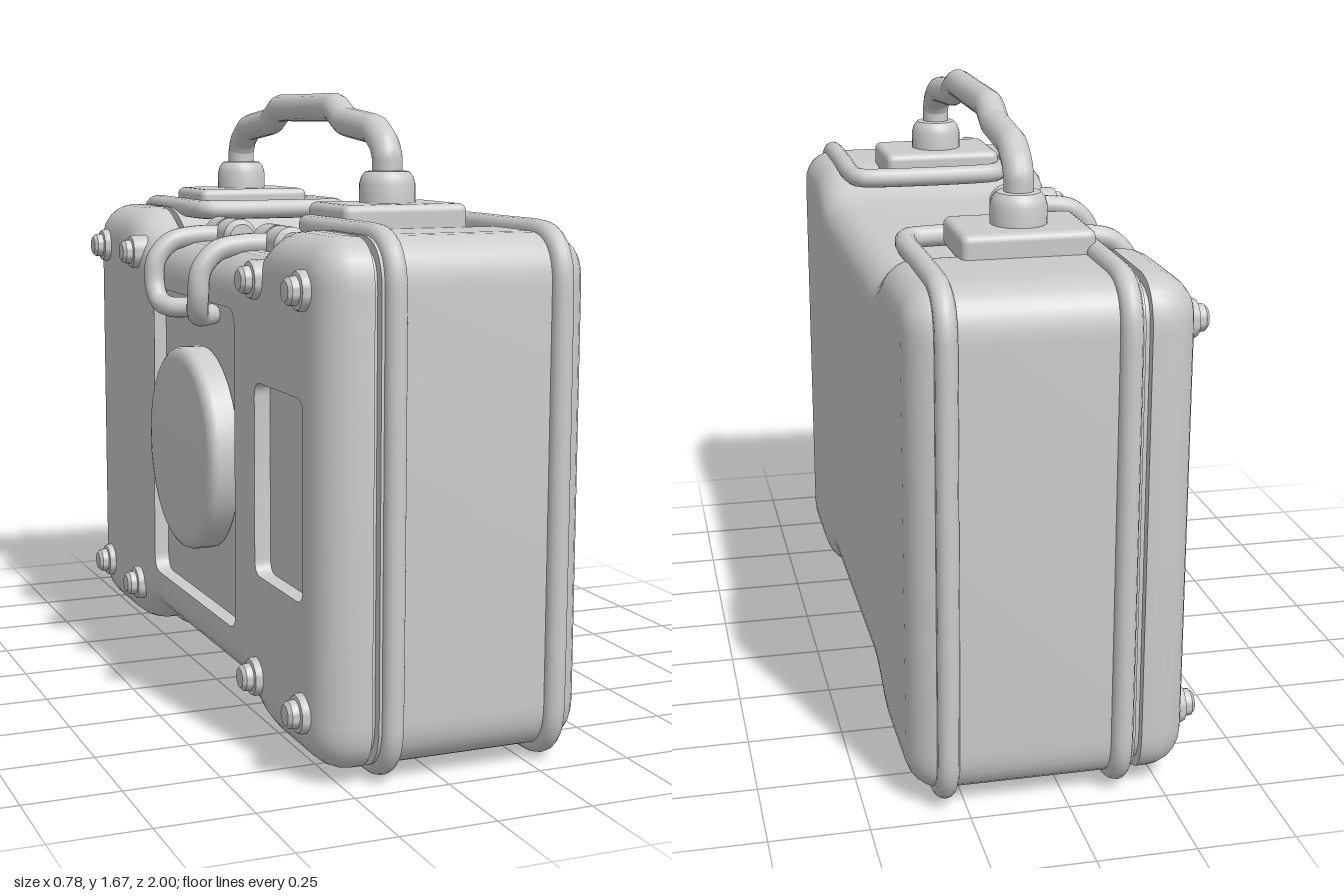
import * as THREE from 'three';
import { toCreasedNormals } from 'three/addons/utils/BufferGeometryUtils.js';
import { RoundedBoxGeometry } from 'three/addons/geometries/RoundedBoxGeometry.js';

const material = new THREE.MeshStandardMaterial({ color: 0xcccccc });
const V = (x, y, z) => new THREE.Vector3(x, y, z);

// Waisted case outline, counter-clockwise from the top centre
function caseOutline() {
  const half = new THREE.Path()
    .moveTo(0, 0.11).lineTo(0.36, 0.11)
    .bezierCurveTo(0.46, 0.11, 0.48, 0.03, 0.64, 0.03)
    .lineTo(0.84, 0.03).quadraticCurveTo(0.972, 0.03, 0.972, 0.16)
    .lineTo(0.972, 1.2).quadraticCurveTo(0.972, 1.328, 0.85, 1.328)
    .lineTo(0.66, 1.328).bezierCurveTo(0.52, 1.328, 0.52, 1.25, 0.39, 1.25)
    .lineTo(0, 1.25).getPoints(8);
  const mirrored = half.map(p => new THREE.Vector2(-p.x, p.y)).reverse();
  return [...mirrored, ...half.slice(1, -1)];
}

// Moves every outline point inwards along its normal
function inset(points, d) {
  const n = points.length;
  return points.map((p, i) => {
    const a = p.clone().sub(points[(i + n - 1) % n]).normalize();
    const b = points[(i + 1) % n].clone().sub(p).normalize();
    const t = a.add(b).normalize();
    return new THREE.Vector2(p.x - t.y * d, p.y + t.x * d);
  });
}

// Skin through outlines given as [depth, inset]
function loft(outline, sections) {
  const n = outline.length, pos = [], idx = [];
  sections.forEach(([z, d], k) => {
    inset(outline, d).forEach((p, j) => {
      pos.push(p.x, p.y, z);
      if (k === 0) return;
      const a = (k - 1) * n + j, b = (k - 1) * n + (j + 1) % n;
      idx.push(a, b, b + n, a, b + n, a + n);
    });
  });
  const g = new THREE.BufferGeometry();
  g.setAttribute('position', new THREE.Float32BufferAttribute(pos, 3));
  g.setIndex(idx);
  return toCreasedNormals(g, 0.7);
}

function roundedRect(x0, x1, y0, y1, r) {
  return new THREE.Path()
    .moveTo(x0 + r, y0).lineTo(x1 - r, y0).quadraticCurveTo(x1, y0, x1, y0 + r)
    .lineTo(x1, y1 - r).quadraticCurveTo(x1, y1, x1 - r, y1)
    .lineTo(x0 + r, y1).quadraticCurveTo(x0, y1, x0, y1 - r)
    .lineTo(x0, y0 + r).quadraticCurveTo(x0, y0, x0 + r, y0);
}

function slab(shape, z, depth) {
  const g = new THREE.ExtrudeGeometry(shape, { depth, bevelEnabled: false, curveSegments: 6 });
  return toCreasedNormals(g.translate(0, 0, z), 0.6);
}

function tube(points, radius, segments, closed = false, type = 'centripetal', tension = 0.5) {
  const curve = new THREE.CatmullRomCurve3(points, closed, type, tension);
  curve.arcLengthDivisions = 2000;
  return new THREE.TubeGeometry(curve, segments, radius, 14, closed);
}

function lathe(profile) {
  const pts = profile.map(([r, y]) => new THREE.Vector2(r, y));
  return toCreasedNormals(new THREE.LatheGeometry(pts, 32), 0.6);
}

export function createModel() {
  const model = new THREE.Group();
  model.name = 'carryingCase';
  // Inside this group the case is as wide as local x and as deep as local z
  const body = new THREE.Group();
  body.name = 'caseParts';
  body.rotation.y = Math.PI / 2;
  model.add(body);

  const add = (name, geometry, x = 0, y = 0, z = 0) => {
    const mesh = new THREE.Mesh(geometry, material);
    mesh.name = name;
    mesh.position.set(x, y, z);
    body.add(mesh);
    return mesh;
  };

  const outline = caseOutline();

  // Shell: rounded lid edge, seam groove, straight wall, rounded back edge
  const steps = [0, 1, 2, 3, 4, 5, 6].map(i => i / 6 * Math.PI / 2);
  add('shell', loft(outline, [
    ...steps.map(a => [-0.22 - 0.1 * Math.cos(a), 0.1 * (1 - Math.sin(a))]),
    [-0.192, 0], [-0.192, 0.025], [-0.175, 0.025], [-0.175, 0],
    ...steps.map(a => [0.3 + 0.09 * Math.sin(a), 0.09 * (1 - Math.cos(a))]),
  ]));
  add('backPanel', slab(new THREE.Shape(inset(outline, 0.09)), 0.36, 0.03));

  // Lid face with three recesses and the floor behind them
  const face = new THREE.Shape(inset(outline, 0.1));
  face.holes.push(
    roundedRect(-0.84, -0.51, 0.44, 0.94, 0.04),
    roundedRect(0.51, 0.84, 0.44, 0.94, 0.04),
    roundedRect(-0.36, 0.36, 0.25, 1.11, 0.05));
  add('lidFace', slab(face, -0.32, 0.045));
  add('recessFloor', slab(new THREE.Shape(inset(outline, 0.11)), -0.277, 0.03));

  // Round boss in the middle recess
  add('disc', lathe([[0.285, 0], [0.285, 0.055], [0.28, 0.068], [0.268, 0.077],
    [0.25, 0.08], [0, 0.08]]).rotateX(-Math.PI / 2), 0, 0.685, -0.28);

  // Rivets
  const rivet = lathe([[0.05, 0], [0.05, 0.05], [0.046, 0.058], [0.036, 0.06],
    [0.034, 0.078], [0.025, 0.087], [0, 0.09]]).rotateX(-Math.PI / 2);
  for (const x of [-0.84, -0.52, 0.52, 0.84])
    for (const y of [0.17, 1.2]) add('rivet', rivet, x, y, -0.28);

  // One continuous bumper rail: two hoops joined across the top
  const hoop = outline.filter(p => p.y < 1 || Math.abs(p.x) > 0.64);
  const rail = [];
  const hoopAt = (points, z, s, inner) => {
    rail.push(V(-s * 0.46, 1.328, z));
    points.forEach(p => rail.push(V(p.x, p.y, z)));
    rail.push(V(s * 0.46, 1.328, z), V(s * 0.405, 1.328, z + inner * 0.015),
      V(s * 0.39, 1.328, z + inner * 0.06));
  };
  hoopAt(hoop, 0.3, 1, -1);
  rail.push(V(0.39, 1.328, -0.08), V(0.405, 1.328, -0.125));
  hoopAt([...hoop].reverse(), -0.14, -1, 1);
  rail.push(V(-0.39, 1.328, 0.24), V(-0.405, 1.328, 0.285));
  add('bumperRail', tube(rail, 0.028, 480, true));

  // Carrying handle with its mounts
  const right = [[0.545, 1.42], [0.545, 1.5], [0.525, 1.535], [0.465, 1.572],
    [0.28, 1.592], [0.2, 1.629]];
  const grip = [...right, [0, 1.629], ...right.map(([x, y]) => [-x, y]).reverse()];
  add('handle', tube(grip.map(([x, y]) => V(x, y, 0.03)), 0.039, 120, false, 'catmullrom', 0.15));
  const collar = lathe([[0.072, 0], [0.072, 0.06], [0.066, 0.08], [0.055, 0.092], [0.03, 0.095]]);
  for (const s of [-1, 1]) {
    add('handlePlate', new RoundedBoxGeometry(0.25, 0.08, 0.34, 3, 0.02), s * 0.545, 1.348, 0.03);
    add('handleCollar', collar, s * 0.545, 1.375, 0.03);
  }

  // Latches: a split barrel and a bent hook each
  const barrel = lathe([[0, 0], [0.05, 0], [0.05, 0.08], [0.036, 0.096], [0, 0.096]]);
  for (const s of [-1, 1]) {
    for (const t of [-1, 1]) {
      const half = add('latchBarrel', barrel, s * 0.2 + t * 0.006, 1.265, -0.13);
      half.rotation.z = -t * Math.PI / 2;
    }
    add('latchHook', tube([
      V(s * 0.2, 1.265, -0.12), V(s * 0.2, 1.265, -0.24), V(s * 0.2, 1.25, -0.31),
      V(s * 0.2, 1.2, -0.355), V(s * 0.195, 1.13, -0.362), V(s * 0.17, 1.085, -0.355),
      V(s * 0.13, 1.07, -0.335), V(s * 0.1, 1.07, -0.29),
    ], 0.029, 48));
  }
  return model;
}
